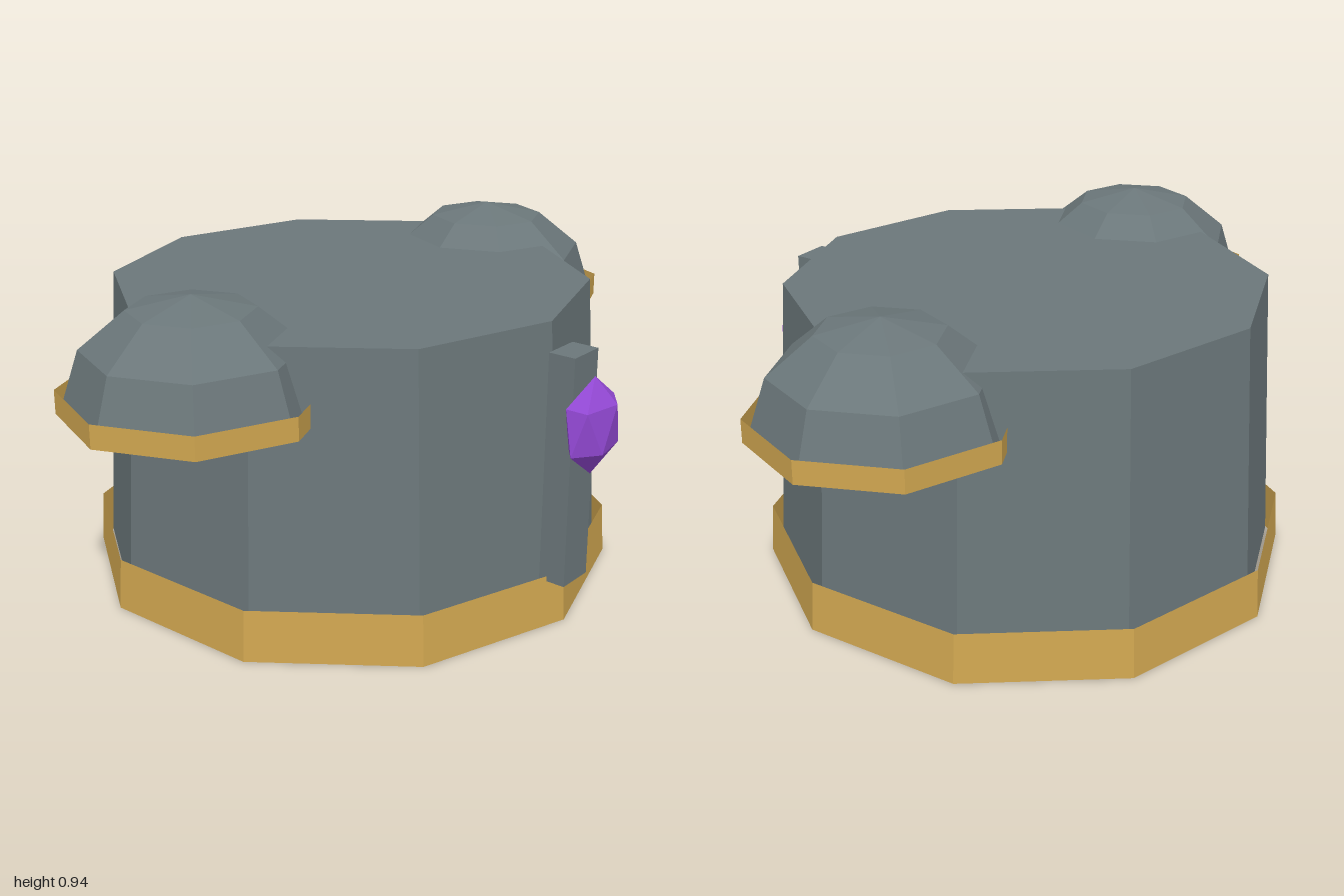
import * as THREE from 'three';

export function createModel() {
  const model = new THREE.Group();
  const paint = (name, color) => {
    const m = new THREE.MeshStandardMaterial({ color, flatShading: true, side: THREE.DoubleSide });
    m.name = name;
    return m;
  };
  const steel = paint('steelGrey', 0x6b777a);
  const gold = paint('gold', 0xd0a650);
  const purple = paint('gemPurple', 0x9449d6);

  const add = (parent, name, geometry, material, x, y, z) => {
    const mesh = new THREE.Mesh(geometry, material);
    mesh.name = name;
    mesh.position.set(x, y, z);
    parent.add(mesh);
    return mesh;
  };

  // Ten-sided tapered torso with a loose open band around its foot
  const bodyZ = -0.055;
  add(model, 'torso', new THREE.CylinderGeometry(0.677, 0.724, 0.81, 10), steel, 0, 0.435, bodyZ);
  add(model, 'waistBand', new THREE.CylinderGeometry(0.748, 0.757, 0.145, 10, 1, true), gold, 0, 0.0725, bodyZ);

  // Shoulder domes, open underneath, each with a thin trim ring
  for (const side of [1, -1]) {
    const shoulder = new THREE.Group();
    shoulder.name = side > 0 ? 'leftShoulder' : 'rightShoulder';
    shoulder.position.set(side * 0.645, 0, -0.037);
    const dome = new THREE.SphereGeometry(0.335, 8, 3, 0, Math.PI * 2, 0, Math.PI / 2);
    dome.scale(1, 0.275 / 0.335, 1);
    add(shoulder, 'shoulderDome', dome, steel, 0, 0.662, 0);
    add(shoulder, 'shoulderTrim', new THREE.CylinderGeometry(0.355, 0.355, 0.065, 8, 1, true), gold, 0, 0.6625, 0);
    model.add(shoulder);
  }

  // Upright front bar
  add(model, 'frontBar', new THREE.BoxGeometry(0.112, 0.645, 0.078), steel, 0, 0.453, 0.691);

  // Faceted gem: icosahedron stood on a corner and flattened
  const gem = new THREE.IcosahedronGeometry(1, 0);
  gem.rotateZ(-Math.atan(2 / (1 + Math.sqrt(5))));
  gem.scale(0.113, 0.135, 0.061);
  add(model, 'gem', gem, purple, 0, 0.585, 0.758);

  return model;
}
